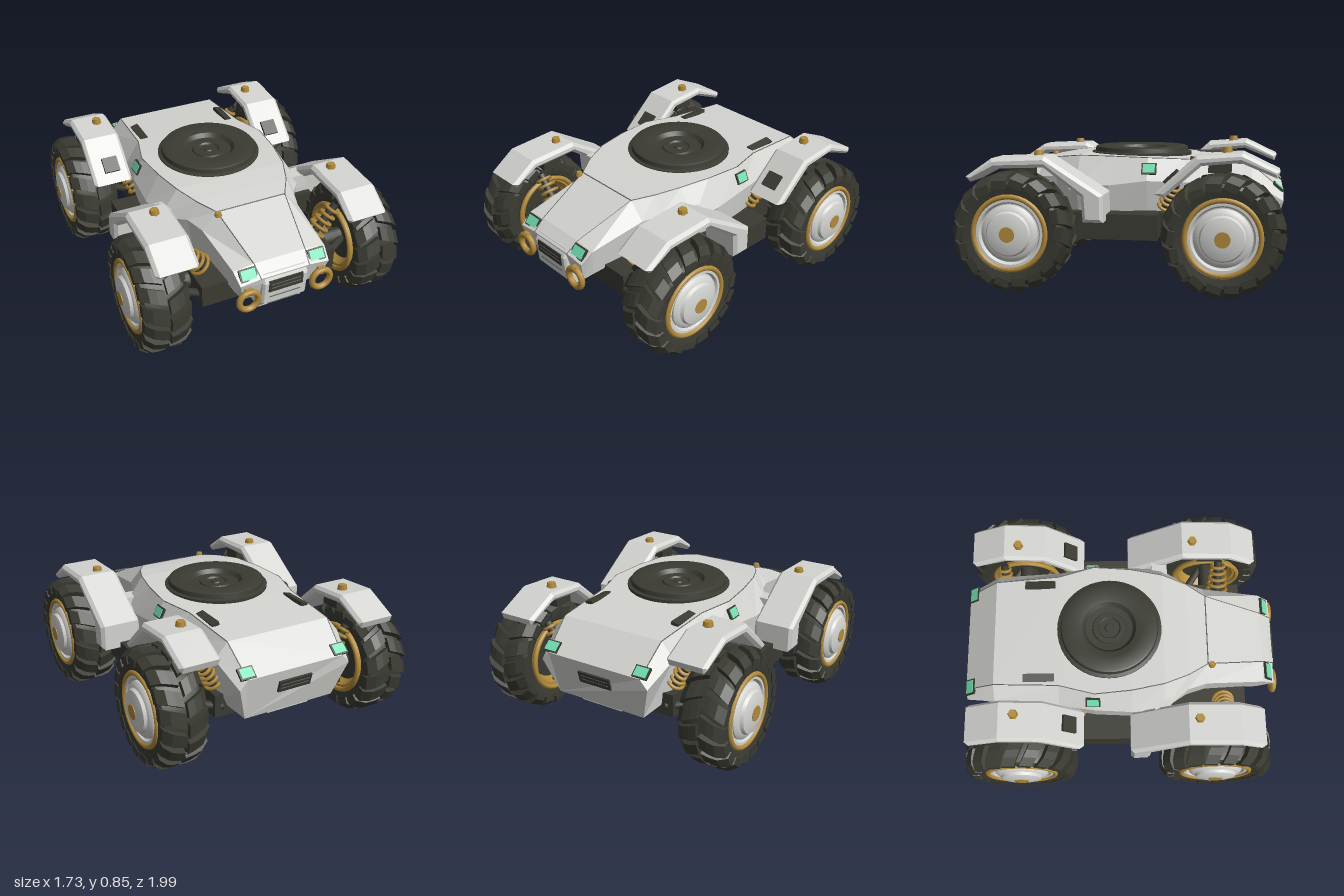
import * as THREE from 'three';
import { toCreasedNormals } from 'three/addons/utils/BufferGeometryUtils.js';

const mat = (name, color) => {
  const m = new THREE.MeshStandardMaterial({ color });
  m.name = name;
  return m;
};
const grey = mat('armourGrey', 0xd4d4d1);
const dark = mat('darkRubber', 0x3b3b33);
const gold = mat('brass', 0xb28b3c);
const green = mat('lampGreen', 0x72dfb0);
const seamGrey = mat('seamGrey', 0x6a6a67);
const V = (x, y, z) => new THREE.Vector3(x, y, z);

function add(parent, name, geo, material, pos) {
  const m = new THREE.Mesh(geo, material);
  m.name = name;
  if (pos) m.position.set(...pos);
  parent.add(m);
  return m;
}
const box = (parent, name, material, size, pos) => add(parent, name, new THREE.BoxGeometry(...size), material, pos);

// round bar between two points
function bar(parent, name, material, p, q, r, sides = 10) {
  const m = add(parent, name, new THREE.CylinderGeometry(r, r, p.distanceTo(q), sides), material);
  m.position.copy(p).lerp(q, 0.5);
  m.quaternion.setFromUnitVectors(V(0, 1, 0), q.clone().sub(p).normalize());
}
// thin box facing along a normal
function plate(parent, name, material, pos, normal, w, h, t) {
  const m = add(parent, name, new THREE.BoxGeometry(w, h, t), material, pos);
  m.lookAt(V(...pos).add(V(...normal)));
}
const lathe = (pts, seg = 40) =>
  toCreasedNormals(new THREE.LatheGeometry(pts.map(p => new THREE.Vector2(...p)), seg), 0.5);
const axleLathe = pts => lathe(pts).rotateZ(-Math.PI / 2);

// profile in (z, y), extruded across x around its own centre
function sidePlate(pts, width, bevel) {
  const g = new THREE.ExtrudeGeometry(new THREE.Shape(pts.map(p => new THREE.Vector2(...p))), {
    depth: width - 2 * bevel, bevelSize: bevel, bevelThickness: bevel, bevelOffset: -bevel, bevelSegments: 1,
  });
  return g.translate(0, 0, -width / 2 + bevel).rotateY(-Math.PI / 2);
}

// hull sections: z, top x y, shoulder x y, lower x y, lower z
const SECTIONS = [
  [-0.99, 0.32, 0.565, 0.37, 0.51, 0.30, 0.29, -0.93],
  [-0.80, 0.34, 0.725, 0.42, 0.63, 0.39, 0.38, -0.80],
  [-0.40, 0.36, 0.755, 0.45, 0.62, 0.42, 0.44, -0.40],
  [-0.18, 0.42, 0.765, 0.485, 0.63, 0.46, 0.45, -0.18],
  [0.05, 0.40, 0.77, 0.49, 0.60, 0.47, 0.44, 0.05],
  [0.25, 0.36, 0.77, 0.48, 0.60, 0.43, 0.44, 0.25],
  [0.40, 0.30, 0.755, 0.36, 0.64, 0.33, 0.43, 0.40],
  [0.52, 0.225, 0.735, 0.32, 0.63, 0.29, 0.42, 0.52],
  [0.88, 0.165, 0.59, 0.295, 0.575, 0.27, 0.40, 0.86],
  [0.955, 0.155, 0.53, 0.285, 0.517, 0.25, 0.39, 0.92],
];
function hullGeometry() {
  const rings = SECTIONS.map(([z, xt, yt, xs, ys, xl, yl, zl]) =>
    [[xl, yl, zl], [xs, ys, z], [xt, yt, z], [-xt, yt, z], [-xs, ys, z], [-xl, yl, zl]]);
  const out = [];
  const tri = (...p) => p.forEach(v => out.push(...v));
  for (let i = 0; i + 1 < rings.length; i++) {
    for (let j = 0; j < 6; j++) {
      const k = (j + 1) % 6, A = rings[i], B = rings[i + 1];
      tri(A[j], A[k], B[j]);
      tri(A[k], B[k], B[j]);
    }
  }
  const back = rings[0], front = rings[rings.length - 1];
  for (let j = 1; j < 5; j++) {
    tri(front[0], front[j], front[j + 1]);
    tri(back[0], back[j + 1], back[j]);
  }
  const g = new THREE.BufferGeometry();
  g.setAttribute('position', new THREE.Float32BufferAttribute(out, 3));
  g.computeVertexNormals();
  return g;
}

// half of a chevron tread block, bent over the shoulder on side s
function lugGeometry(s) {
  const g = new THREE.BoxGeometry(0.135, 0.045, 0.082, 3, 1, 1).toNonIndexed();
  const p = g.attributes.position;
  for (let i = 0; i < p.count; i++) {
    const t = s * p.getX(i) / 0.135 + 0.5;
    p.setZ(i, p.getZ(i) + t * 0.055);
    p.setY(i, p.getY(i) - (t > 0.9 ? 0.045 : t > 0.6 ? 0.008 : 0));
  }
  g.computeVertexNormals();
  return g;
}

function makeWheel() {
  const w = new THREE.Group();
  add(w, 'tyre', axleLathe([[0.2, -0.1], [0.23, -0.125], [0.285, -0.135], [0.305, -0.12], [0.318, -0.08], [0.321, 0],
    [0.318, 0.08], [0.305, 0.12], [0.285, 0.135], [0.23, 0.125], [0.2, 0.1], [0.2, -0.1]]), dark);
  const N = 18;
  for (const s of [1, -1]) {
    const lug = lugGeometry(s);
    for (let i = 0; i < N; i++) {
      const holder = new THREE.Group();
      holder.name = 'treadBlock';
      holder.rotation.x = ((i + (s < 0 ? 0.5 : 0)) / N) * Math.PI * 2;
      add(holder, 'lug', lug, dark, [s * 0.075, 0.328, 0]);
      w.add(holder);
    }
  }
  for (const x of [0.122, -0.138]) add(w, 'rimRing', new THREE.TorusGeometry(0.213, 0.016, 8, 40).rotateY(Math.PI / 2), gold, [x, 0, 0]);
  add(w, 'rimFace', axleLathe([[0.2, 0.05], [0.2, 0.125], [0.183, 0.125], [0.172, 0.105], [0, 0.105]]), grey);
  add(w, 'hubDome', axleLathe([[0.166, 0.09], [0.166, 0.12], [0.15, 0.135], [0.132, 0.14], [0.122, 0.158], [0.09, 0.167], [0.05, 0.172], [0, 0.172]]), grey);
  add(w, 'hubCap', new THREE.CylinderGeometry(0.045, 0.045, 0.01, 20).rotateZ(Math.PI / 2), gold, [0.171, 0, 0]);
  add(w, 'innerRim', axleLathe([[0.15, -0.07], [0.17, -0.09], [0.185, -0.13], [0.205, -0.13], [0.205, -0.05]]), gold);
  add(w, 'brakeDrum', new THREE.CylinderGeometry(0.155, 0.155, 0.05, 32).rotateZ(Math.PI / 2), dark, [-0.06, 0, 0]);
  return w;
}

// damper inside a wide spring
function makeShock(parent, p, q, r) {
  const g = new THREE.Group();
  g.name = 'shock';
  bar(g, 'damper', dark, p, q, 0.025);
  const dir = q.clone().sub(p).normalize();
  for (let i = 0; i < 5; i++) {
    const t = add(g, 'springCoil', new THREE.TorusGeometry(r * (1 - i * 0.08), 0.011, 6, 18), gold);
    t.position.copy(p).lerp(q, 0.12 + i * 0.18);
    t.quaternion.setFromUnitVectors(V(0, 0, 1), dir);
  }
  parent.add(g);
}

export function createModel() {
  const car = new THREE.Group();
  car.name = 'armouredCar';

  // hull, nose and keel
  add(car, 'hull', hullGeometry(), grey);
  box(car, 'chassis', dark, [0.88, 0.14, 1.62], [0, 0.36, -0.03]);
  box(car, 'sidePods', dark, [1.24, 0.15, 0.46], [0, 0.37, -0.03]);
  add(car, 'nose', sidePlate([[0.9, 0.285], [0.955, 0.34], [0.968, 0.49], [0.94, 0.545], [0.8, 0.545], [0.8, 0.285]], 0.29, 0.012), grey);
  box(car, 'keel', grey, [0.28, 0.02, 1.82], [0, 0.287, -0.01]);

  // grilles and panel outlines
  for (const [z, tilt, zn] of [[0.964, 0, 1], [-0.978, -0.27, -1]]) {
    plate(car, 'grille', dark, [0, 0.465, z], [0, tilt, zn], 0.22, 0.075, 0.012);
    for (const d of [-0.012, 0.012]) plate(car, 'grilleSlat', seamGrey, [0, 0.465 + d, z + zn * 0.004 - d * tilt * zn], [0, tilt, zn], 0.19, 0.005, 0.008);
  }
  for (const y of [0.385, 0.32]) plate(car, 'noseSeam', seamGrey, [0, y, y > 0.35 ? 0.957 : 0.935], [0, 0, 1], 0.2, 0.006, 0.01);
  bar(car, 'hoodSeam', seamGrey, V(-0.225, 0.734, 0.52), V(0.225, 0.734, 0.52), 0.004, 6);

  // turret ring
  add(car, 'turretRing', lathe([[0.323, 0.74], [0.323, 0.774], [0.302, 0.78], [0.297, 0.806], [0.285, 0.812], [0.2, 0.81], [0.165, 0.804],
    [0.145, 0.778], [0.105, 0.776], [0.1, 0.786], [0.07, 0.786], [0.062, 0.776], [0.03, 0.776], [0.025, 0.784], [0, 0.784]], 48), dark, [0, 0, -0.085]);

  const frontFender = sidePlate([[0.86, 0.665], [0.70, 0.775], [0.385, 0.79], [0.04, 0.57], [0.04, 0.41], [0.16, 0.41], [0.17, 0.56],
    [0.39, 0.725], [0.68, 0.715], [0.83, 0.635]].reverse(), 0.26, 0.02);
  const rearFender = sidePlate([[-0.25, 0.58], [-0.49, 0.80], [-0.75, 0.82], [-0.96, 0.72], [-0.945, 0.68], [-0.74, 0.765],
    [-0.52, 0.745], [-0.31, 0.56]], 0.25, 0.018);
  const wheel = makeWheel();

  for (const s of [1, -1]) {
    const side = s > 0 ? 'left' : 'right';
    // seams along the hull's upper edges
    for (let i = 0; i + 1 < SECTIONS.length; i++) {
      const [a, b] = [SECTIONS[i], SECTIONS[i + 1]];
      bar(car, 'edgeSeam', seamGrey, V(s * a[1], a[2] - 0.001, a[0]), V(s * b[1], b[2] - 0.001, b[0]), 0.003, 6);
    }
    // fenders with bolts, vents and mounts
    add(car, side + 'FrontFender', frontFender, grey, [s * 0.61, 0, 0]);
    add(car, side + 'RearFender', rearFender, grey, [s * 0.59, 0, 0]);
    add(car, 'frontBolt', new THREE.CylinderGeometry(0.026, 0.032, 0.035, 6), gold, [s * 0.585, 0.797, 0.45]);
    add(car, 'rearBolt', new THREE.CylinderGeometry(0.026, 0.032, 0.035, 6), gold, [s * 0.555, 0.827, -0.66]);
    plate(car, 'fenderVent', dark, [s * 0.58, 0.672, -0.335], [0, 0.74, 0.67], 0.1, 0.1, 0.018);
    for (const z of [0.55, -0.62]) box(car, 'fenderMount', dark, [0.14, 0.06, 0.13], [s * 0.57, z > 0 ? 0.7 : 0.73, z]);
    box(car, 'frontStrut', grey, [0.12, 0.09, 0.1], [s * 0.45, 0.62, 0.24]);
    plate(car, 'deckVent', dark, [s * 0.308, 0.748, -0.52], [s * 0.25, 0.95, 0], 0.19, 0.05, 0.022);
    // lamps
    for (const [name, p, n, w, h] of [
      ['headlamp', [s * 0.22, 0.556, 0.916], [0, 0.6, 0.8], 0.09, 0.058],
      ['tailLamp', [s * 0.313, 0.592, -0.958], [0, 0.76, -0.64], 0.08, 0.058],
      ['sideLamp', [s * 0.453, 0.70, -0.19], [s * 0.9, 0.44, 0], 0.072, 0.055],
    ]) {
      plate(car, name + 'Frame', dark, p, n, w + 0.018, h + 0.016, 0.014);
      plate(car, name, green, p, n, w, h, 0.022);
    }
    // tow rings
    add(car, 'towRing', new THREE.TorusGeometry(0.06, 0.019, 8, 24), gold, [s * 0.235, 0.41, 0.965]);
    box(car, 'towMount', gold, [0.04, 0.04, 0.06], [s * 0.235, 0.468, 0.945]);
    // wheels and suspension
    for (const [z, y] of [[0.573, 0.35], [-0.65, 0.354]]) {
      const w = wheel.clone();
      w.name = side + (z > 0 ? 'FrontWheel' : 'RearWheel');
      w.position.set(s * 0.69, y, z);
      if (s < 0) w.rotation.y = Math.PI;
      car.add(w);
      bar(car, 'axle', dark, V(s * 0.3, y, z), V(s * 0.64, y, z), 0.05, 12);
      for (const d of [-0.1, 0.1]) bar(car, 'wishbone', dark, V(s * 0.38, 0.35, z + d * 1.8), V(s * 0.6, y, z + d * 0.4), 0.025, 8);
    }
    makeShock(car, V(s * 0.37, 0.46, 0.63), V(s * 0.52, 0.64, 0.63), 0.062);
    makeShock(car, V(s * 0.43, 0.46, -0.28), V(s * 0.52, 0.62, -0.36), 0.045);
    makeShock(car, V(s * 0.40, 0.46, -0.77), V(s * 0.51, 0.63, -0.77), 0.05);
  }
  add(car, 'hoodBolt', new THREE.CylinderGeometry(0.018, 0.024, 0.025, 6), gold, [-0.228, 0.735, 0.545]);
  return car;
}
